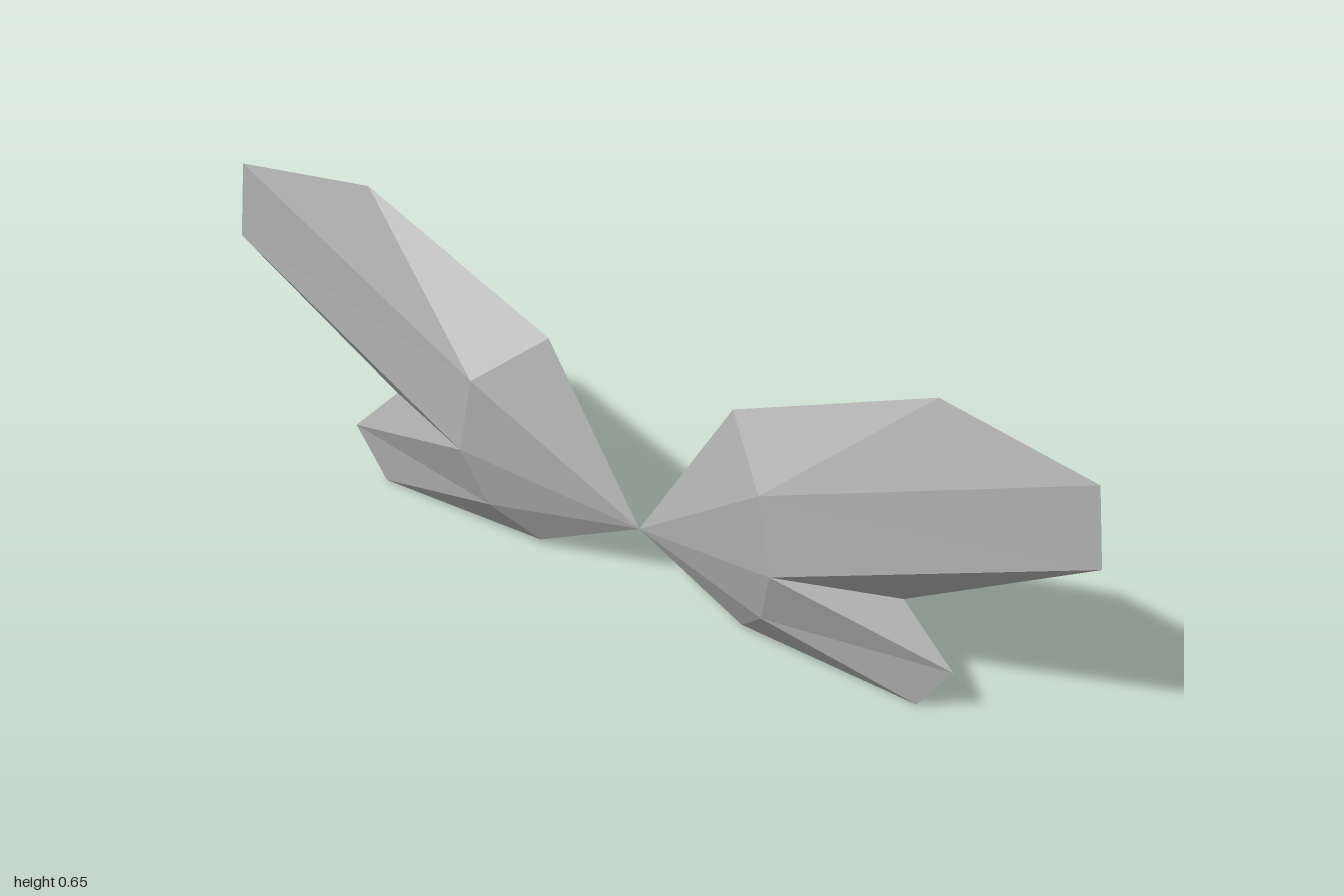
import * as THREE from 'three';

// Flat rim of one wing, clockwise from the root
const rim = [
  [0, 0.135], [0.215, 0.472], [0.655, 0.653], [0.985, 0.6], [1, 0.437],
  [0.6, 0.218], [0.713, 0.105], [0.637, 0.005], [0.242, 0.018],
].map(([x, y]) => [x, y, 0]);

// Raised ridge points, each with the stretch of rim it fans out to
const ridge = [
  { p: [0.337, 0.375, 0.085], from: 0, to: 4 },
  { p: [0.366, 0.215, 0.087], from: 4, to: 6 },
  { p: [0.325, 0.092, 0.053], from: 6, to: 9 },
];

// Triangles of the front half of a wing, counter-clockwise
function frontFaces() {
  const faces = [];
  ridge.forEach(({ p, from, to }, k) => {
    for (let i = from; i < to; i++) faces.push([p, rim[(i + 1) % rim.length], rim[i]]);
    const next = ridge[k + 1];
    if (next) {
      faces.push([p, next.p, rim[to]]);
      faces.push([p, rim[0], next.p]);
    }
  });
  return faces;
}

// One wing: front half plus its reflection behind; side is 1 or -1
function wingGeometry(side) {
  const positions = [];
  for (const face of [1, -1]) {
    for (const tri of frontFaces()) {
      const order = side * face > 0 ? tri : [...tri].reverse();
      for (const [x, y, z] of order) positions.push(x * side, y, z * face);
    }
  }
  const geometry = new THREE.BufferGeometry();
  geometry.setAttribute('position', new THREE.Float32BufferAttribute(positions, 3));
  geometry.computeVertexNormals();
  return geometry;
}

export function createModel() {
  const group = new THREE.Group();
  group.name = 'wings';
  const grey = new THREE.MeshStandardMaterial({ color: 0xb0b0b0 });
  grey.name = 'grey';

  for (const [name, side] of [['leftWing', 1], ['rightWing', -1]]) {
    const wing = new THREE.Mesh(wingGeometry(side), grey);
    wing.name = name;
    group.add(wing);
  }
  return group;
}
